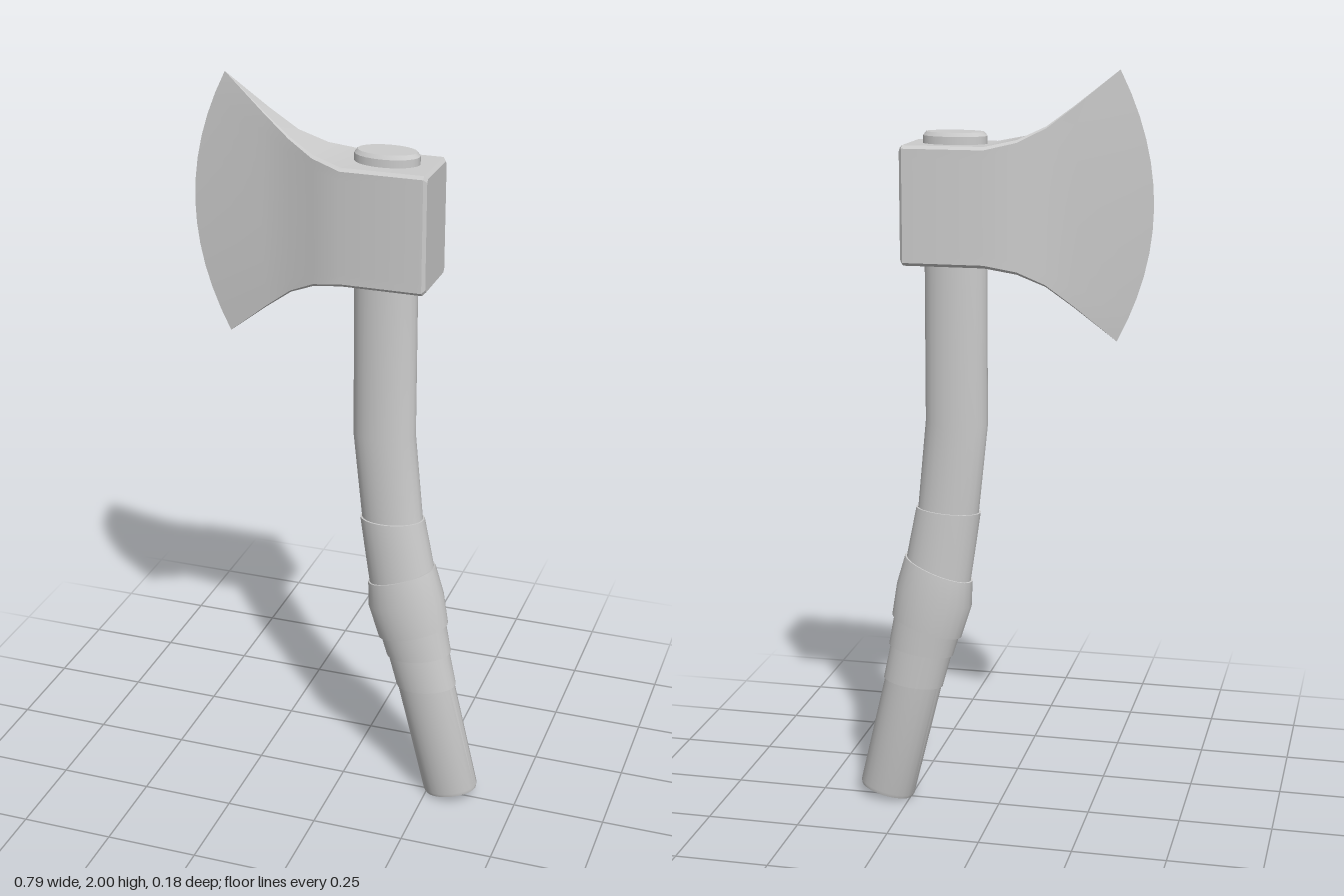
import * as THREE from 'three';
import { toCreasedNormals } from 'three/addons/utils/BufferGeometryUtils.js';

const material = new THREE.MeshStandardMaterial({ color: 0xcccccc });

// Skin a list of closed rings (arrays of Vector3), with optional flat end caps.
function loft(rings, capStart, capEnd) {
  const pos = [];
  const tri = (...pts) => pts.forEach((p) => pos.push(p.x, p.y, p.z));
  const n = rings[0].length;
  for (let r = 0; r < rings.length - 1; r++) {
    const a = rings[r], b = rings[r + 1];
    for (let i = 0; i < n; i++) {
      const j = (i + 1) % n;
      tri(a[i], a[j], b[i]);
      tri(a[j], b[j], b[i]);
    }
  }
  const cap = (ring, flip) => {
    const c = ring.reduce((s, p) => s.add(p), new THREE.Vector3()).divideScalar(n);
    for (let i = 0; i < n; i++) {
      const j = (i + 1) % n;
      if (flip) tri(c, ring[j], ring[i]);
      else tri(c, ring[i], ring[j]);
    }
  };
  if (capStart) cap(rings[0], true);
  if (capEnd) cap(rings[rings.length - 1], false);
  const geo = new THREE.BufferGeometry();
  geo.setAttribute('position', new THREE.Float32BufferAttribute(pos, 3));
  return toCreasedNormals(geo, 0.5);
}

// Centre line of the bent handle: x as a function of y.
const line = [[1.84, 0.113], [1.08, 0.113], [0.84, 0.137], [0.6, 0.178], [0.02, 0.318]];
function centreX(y) {
  for (let i = 0; i < line.length - 1; i++) {
    const [y0, x0] = line[i], [y1, x1] = line[i + 1];
    if (y >= y1) return x0 + ((x1 - x0) * (y - y0)) / (y1 - y0);
  }
  return line[line.length - 1][1];
}

// Elliptical ring round the centre line, tilted about z.
function ellipse([y, rx, rz, tilt]) {
  const sides = 24;
  return Array.from({ length: sides }, (_, i) => {
    const t = (i / sides) * Math.PI * 2;
    const u = rx * Math.cos(t);
    return new THREE.Vector3(
      centreX(y) + u * Math.cos(tilt), y + u * Math.sin(tilt), rz * Math.sin(t));
  });
}

// Section of the axe head: a tall chamfered rectangle, bowed towards the edge.
function headSection([x, h, hz, c, bulge]) {
  const rows = 12, midY = 1.657, front = [];
  const add = (y, z) => {
    const v = y / h;
    front.push(new THREE.Vector3(x - bulge * (1 - v * v), midY + y, z));
  };
  add(-h, hz - c);
  for (let i = 0; i <= rows; i++) add((h - c) * ((2 * i) / rows - 1), hz);
  add(h, hz - c);
  const back = front.map((p) => new THREE.Vector3(p.x, p.y, -p.z)).reverse();
  return [...front, ...back];
}

export function createModel() {
  const axe = new THREE.Group();
  axe.name = 'axe';
  const add = (name, geometry) => {
    const mesh = new THREE.Mesh(geometry, material);
    mesh.name = name;
    axe.add(mesh);
  };

  // Head from the poll to the cutting edge: x, half height, half thickness, chamfer, bow
  add('axeHead', loft([
    [0.24, 0.145, 0.083, 0.008, 0],
    [0.232, 0.153, 0.091, 0.008, 0],
    [0.02, 0.153, 0.091, 0.008, 0],
    [-0.06, 0.17, 0.066, 0.007, 0],
    [-0.13, 0.203, 0.039, 0.005, 0],
    [-0.2, 0.255, 0.023, 0.003, 0.01],
    [-0.31, 0.343, 0, 0, 0.09],
  ].map(headSection), true, false));

  // Bent wooden handle, its top showing through the head: y, radius x, radius z, tilt
  add('handle', loft([
    [1.84, 0.076, 0.045, 0],
    [1.83, 0.084, 0.051, 0],
    [1.5, 0.083, 0.051, 0],
    [1.08, 0.084, 0.051, 0.05],
    [0.84, 0.083, 0.052, 0.14],
    [0.6, 0.081, 0.053, 0.2],
    [0.03, 0.077, 0.053, 0.24],
    [0.02, 0.073, 0.05, 0.24],
  ].map(ellipse), true, true));

  // Overlapping grip wraps, each slanted a little differently
  const wraps = [
    [[0.84, 0.088, 0.057, 0.06], [0.76, 0.09, 0.06, 0.13], [0.64, 0.093, 0.064, 0.25]],
    [[0.675, 0.098, 0.067, 0.35], [0.6, 0.107, 0.073, 0.27], [0.51, 0.1, 0.07, 0.3]],
    [[0.53, 0.095, 0.065, 0.25], [0.44, 0.09, 0.062, 0.15]],
    [[0.46, 0.086, 0.059, 0.2], [0.345, 0.083, 0.057, 0.12]],
  ];
  wraps.forEach((rings, i) => add('gripWrap' + (i + 1), loft(rings.map(ellipse), true, true)));

  return axe;
}
